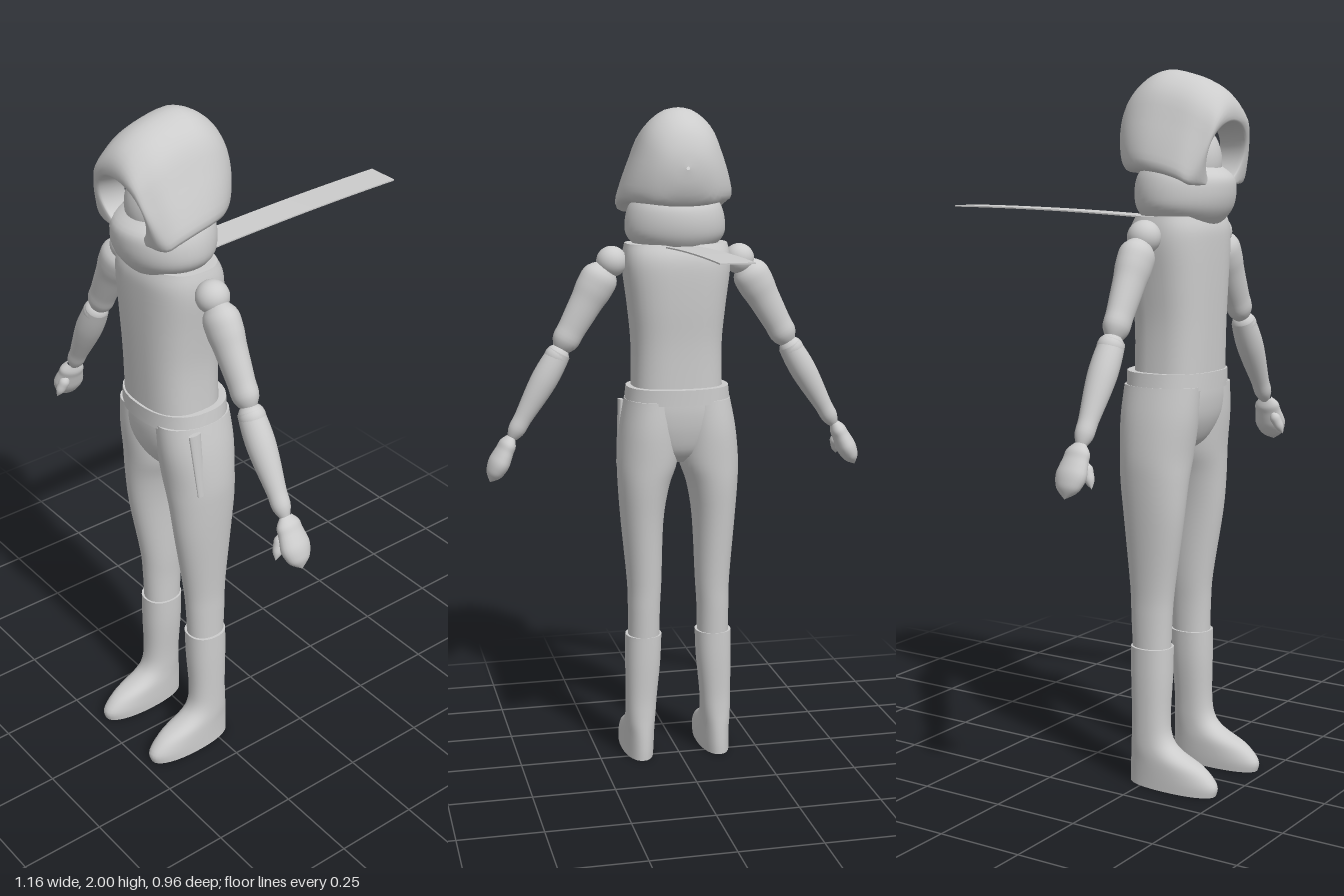
import * as THREE from 'three';

const grey = new THREE.MeshStandardMaterial({ color: 0xcccccc });
grey.name = 'light grey';

const V = (x, y, z) => new THREE.Vector3(x, y, z);

function part(parent, name, geometry) {
  const mesh = new THREE.Mesh(geometry, grey);
  mesh.name = name;
  parent.add(mesh);
  return mesh;
}

// Catmull-Rom interpolation of whole rows of numbers
function refine(rows, steps) {
  const out = [];
  const at = (i) => rows[Math.max(0, Math.min(rows.length - 1, i))];
  for (let i = 0; i < rows.length - 1; i++) {
    for (let s = 0; s < steps; s++) {
      const t = s / steps;
      out.push(at(i).map((b, k) => {
        const a = at(i - 1)[k], c = at(i + 1)[k], d = at(i + 2)[k];
        return b + 0.5 * t * (c - a + t * (2 * a - 5 * b + 4 * c - d + t * (3 * (b - c) + d - a)));
      }));
    }
  }
  out.push(rows[rows.length - 1]);
  return out;
}

// Smooth skin over closed rings, with flat end caps
function loft(rings, caps = true) {
  const n = rings[0].length, pos = [], index = [];
  rings.forEach((r) => r.forEach((p) => pos.push(p.x, p.y, p.z)));
  for (let i = 0; i < rings.length - 1; i++) {
    for (let j = 0; j < n; j++) {
      const a = i * n + j, b = i * n + (j + 1) % n;
      index.push(a, a + n, b, b, a + n, b + n);
    }
  }
  if (caps) {
    [rings[0], rings[rings.length - 1]].forEach((r, end) => {
      const start = pos.length / 3;
      const c = r.reduce((s, p) => s.add(p), V(0, 0, 0)).divideScalar(n);
      r.concat(c).forEach((p) => pos.push(p.x, p.y, p.z));
      for (let j = 0; j < n; j++) {
        const a = start + j, b = start + (j + 1) % n;
        index.push(start + n, ...(end ? [b, a] : [a, b]));
      }
    });
  }
  const g = new THREE.BufferGeometry();
  g.setAttribute('position', new THREE.Float32BufferAttribute(pos, 3));
  g.setIndex(index);
  g.computeVertexNormals();
  return g;
}

// Upright body from rows [y, xMin, xMax, zMin, zMax], listed from the bottom up
function body(rows, { side = 1, power = 0.85, steps = 4 } = {}) {
  const soft = (v) => Math.sign(v) * Math.abs(v) ** power;
  return loft(refine(rows, steps).map(([y, x0, x1, z0, z1]) =>
    Array.from({ length: 36 }, (_, j) => {
      const a = (j / 36) * Math.PI * 2;
      return V(side * (x0 + x1) / 2 + soft(Math.cos(a)) * (x1 - x0) / 2, y,
        (z0 + z1) / 2 + soft(Math.sin(a)) * (z1 - z0) / 2);
    })));
}

// Turned limb from a to b, with radii spread evenly along it
function limb(parent, name, a, b, radii, depth = 1) {
  const dir = b.clone().sub(a), len = dir.length();
  const pts = refine(radii.map((r, i) => [r, len * i / (radii.length - 1)]), 4)
    .map(([r, y]) => new THREE.Vector2(Math.max(r, 0), y));
  const mesh = part(parent, name, new THREE.LatheGeometry(pts, 24));
  mesh.position.copy(a);
  mesh.quaternion.setFromUnitVectors(V(0, 1, 0), dir.normalize());
  mesh.scale.z = depth;
  return mesh;
}

// Bell-shaped hood, built from the back to the face opening
function hood() {
  const outline = refine([[0, 1], [0.22, 0.975], [0.45, 0.88], [0.62, 0.74], [0.74, 0.55], [0.86, 0.36],
    [0.96, 0.18], [1, 0.06], [0.9, 0], [0.5, 0.01], [0, 0.02]], 2);
  const half = outline.map(([x, y]) => [x, y]);
  const full = half.concat(half.slice(1, -1).reverse().map(([x, y]) => [-x, y]));
  const n = full.length;
  // z, half width, bottom, top, roundness, forward tilt
  const rows = [
    [0.106, 0.005, 1.825, 1.835, 1, 0], [0.114, 0.055, 1.77, 1.885, 0.9, 0], [0.14, 0.105, 1.72, 1.94, 0.6, 0],
    [0.185, 0.145, 1.72, 1.98, 0.3, 0], [0.24, 0.165, 1.725, 2, 0.1, 0], [0.31, 0.17, 1.72, 1.988, 0, 0.05],
    [0.37, 0.168, 1.705, 1.966, 0, 0.1], [0.415, 0.155, 1.69, 1.935, 0, 0.18], [0.438, 0.132, 1.685, 1.9, 0.4, 0.22],
    [0.44, 0.105, 1.68, 1.865, 1, 0.25], [0.425, 0.098, 1.68, 1.857, 1, 0.25], [0.36, 0.095, 1.68, 1.85, 1, 0.2]];
  return loft(refine(rows, 3).map(([z, w, y0, y1, round, tilt]) => full.map(([x, y], j) => {
    const a = (j / n) * Math.PI * 2;
    const px = THREE.MathUtils.lerp(x, Math.sin(a), round);
    const py = y0 + (y1 - y0) * THREE.MathUtils.lerp(y, 0.5 + 0.5 * Math.cos(a), round);
    return V(w * px, py, z + tilt * Math.min(0, py - 1.86));
  })), false);
}

export function createModel() {
  const model = new THREE.Group();
  model.name = 'hoodedFigure';

  // Head, hood and cowl
  part(model, 'hood', hood());
  const face = part(model, 'face', new THREE.SphereGeometry(1, 32, 20));
  face.scale.set(0.105, 0.125, 0.115);
  face.position.set(0, 1.75, 0.275);
  part(model, 'cowl', body([
    [1.575, -0.09, 0.09, 0.2, 0.375], [1.6, -0.125, 0.125, 0.175, 0.4], [1.63, -0.148, 0.148, 0.158, 0.418],
    [1.67, -0.15, 0.15, 0.152, 0.426], [1.71, -0.14, 0.14, 0.158, 0.42], [1.74, -0.12, 0.12, 0.18, 0.38]], { power: 1 }));

  // Torso, belt and hips
  part(model, 'torso', body([
    [1.15, -0.138, 0.138, 0.17, 0.385], [1.3, -0.136, 0.136, 0.168, 0.388], [1.42, -0.147, 0.147, 0.16, 0.39],
    [1.52, -0.16, 0.16, 0.157, 0.39], [1.57, -0.16, 0.16, 0.163, 0.387], [1.605, -0.153, 0.153, 0.18, 0.375]], { power: 0.75 }));
  part(model, 'belt', body([[1.13, -0.16, 0.16, 0.143, 0.393], [1.178, -0.155, 0.155, 0.143, 0.393]], { steps: 1 }));
  part(model, 'hips', body([
    [0.945, -0.03, 0.03, 0.22, 0.3], [0.98, -0.1, 0.1, 0.18, 0.345], [1.04, -0.15, 0.15, 0.16, 0.375],
    [1.1, -0.163, 0.163, 0.152, 0.385], [1.15, -0.155, 0.155, 0.152, 0.385]]));

  for (const side of [1, -1]) {
    const label = side > 0 ? 'left' : 'right';
    const at = (x, y, z) => V(side * x, y, z);

    // Leg and boot
    part(model, label + 'Leg', body([
      [0.37, 0.062, 0.158, 0.202, 0.312], [0.48, 0.06, 0.158, 0.195, 0.315], [0.57, 0.055, 0.16, 0.19, 0.322],
      [0.757, 0.048, 0.176, 0.173, 0.35], [0.87, 0.03, 0.184, 0.16, 0.36], [0.95, 0.004, 0.186, 0.154, 0.366],
      [1.05, 0, 0.177, 0.15, 0.378], [1.14, 0, 0.16, 0.155, 0.382]], { side, power: 0.95 }));
    part(model, label + 'Boot', body([
      [0, 0.075, 0.17, 0.2, 0.472], [0.03, 0.073, 0.17, 0.199, 0.475], [0.07, 0.073, 0.169, 0.2, 0.435],
      [0.105, 0.075, 0.167, 0.202, 0.36], [0.14, 0.074, 0.166, 0.204, 0.326], [0.2, 0.07, 0.166, 0.205, 0.316],
      [0.31, 0.059, 0.167, 0.2, 0.318], [0.4, 0.055, 0.166, 0.198, 0.318]], { side, power: 0.9 }));

    // Arm
    const ball = part(model, label + 'Shoulder', new THREE.SphereGeometry(0.046, 24, 16));
    ball.position.copy(at(0.195, 1.552, 0.277));
    limb(model, label + 'UpperArm', at(0.2, 1.56, 0.277), at(0.365, 1.27, 0.28),
      [0, 0.05, 0.056, 0.05, 0.046, 0.042, 0.038, 0], 0.86);
    const elbow = part(model, label + 'Elbow', new THREE.SphereGeometry(0.037, 24, 16));
    elbow.position.copy(at(0.364, 1.272, 0.28));
    limb(model, label + 'Forearm', at(0.355, 1.285, 0.28), at(0.515, 1.01, 0.28),
      [0.035, 0.039, 0.04, 0.037, 0.032, 0.027, 0.024, 0]);

    // Hand and thumb
    limb(model, label + 'Hand', at(0.505, 1.035, 0.28), at(0.572, 0.9, 0.275),
      [0.012, 0.024, 0.026, 0.029, 0.031, 0.028, 0.02, 0], 1.5);
    limb(model, label + 'Thumb', at(0.512, 0.995, 0.297), at(0.528, 0.925, 0.33), [0, 0.015, 0.015, 0.012, 0]);
  }

  // Narrow tapered sheath on the left hip
  const sheath = part(model, 'hipSheath', new THREE.CylinderGeometry(0.02, 0.012, 0.2, 12));
  sheath.scale.x = 0.4;
  sheath.position.set(0.17, 1.03, 0.315);
  sheath.rotation.set(0.05, 0, 0.06);

  // Stiff scarf tail reaching out behind the neck
  const tail = new THREE.BoxGeometry(0.095, 0.004, 0.68, 1, 1, 12);
  const p = tail.attributes.position;
  for (let i = 0; i < p.count; i++) {
    const t = (0.34 - p.getZ(i)) / 0.68;
    p.setY(i, p.getY(i) + 0.02 * (1 - (1 - t) ** 2));
  }
  tail.computeVertexNormals();
  part(model, 'scarfTail', tail).position.set(0.003, 1.597, -0.14);

  return model;
}
